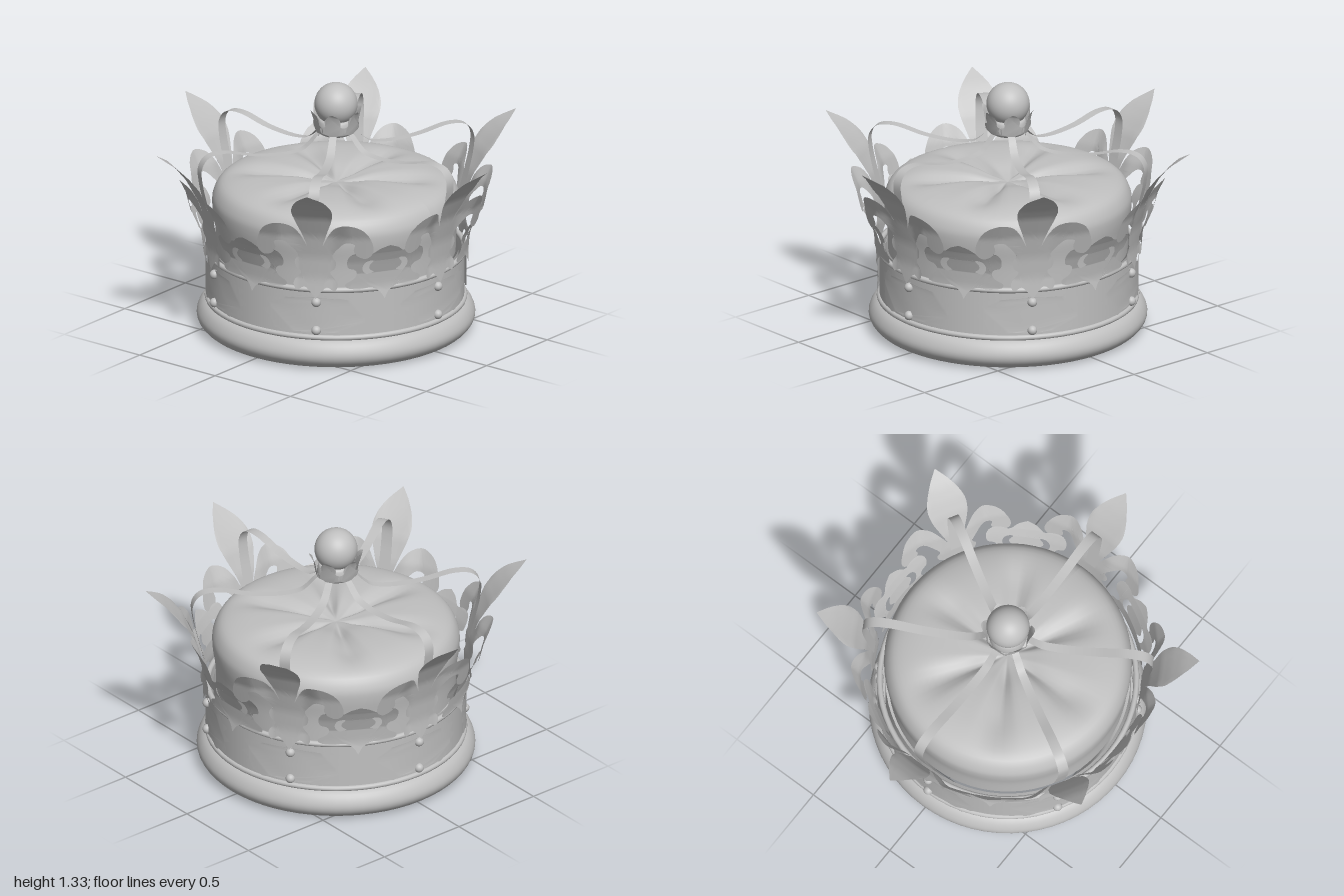
import * as THREE from 'three';
import { mergeVertices } from 'three/addons/utils/BufferGeometryUtils.js';

const silver = new THREE.MeshStandardMaterial({ color: 0xc0c0c0, side: THREE.DoubleSide });
silver.name = 'silver grey';

const v2 = (pts) => pts.map(([x, y]) => new THREE.Vector2(x, y));

// Piecewise lookup of radius by height
function lookup(table, y) {
  for (let i = 1; i < table.length; i++) {
    const [y0, r0] = table[i - 1], [y1, r1] = table[i];
    if (y <= y1 || i === table.length - 1) return r0 + (r1 - r0) * (y - y0) / (y1 - y0);
  }
}

// Symmetric outline from the right-hand half, listed bottom to top
function mirroredShape(half, samples) {
  const right = new THREE.SplineCurve(v2(half)).getPoints(samples);
  const left = right.slice(1, -1).reverse().map((p) => new THREE.Vector2(-p.x, p.y));
  return new THREE.Shape([...right, ...left]);
}

// Split every triangle into four, several times
function subdivide(geo, times) {
  const src = geo.toNonIndexed().attributes.position;
  let tris = [];
  for (let i = 0; i < src.count; i += 3) {
    tris.push([0, 1, 2].map((k) => new THREE.Vector3().fromBufferAttribute(src, i + k)));
  }
  for (let n = 0; n < times; n++) {
    tris = tris.flatMap(([a, b, c]) => {
      const ab = a.clone().lerp(b, 0.5), bc = b.clone().lerp(c, 0.5), ca = c.clone().lerp(a, 0.5);
      return [[a, ab, ca], [ab, b, bc], [ca, bc, c], [ab, bc, ca]];
    });
  }
  return new THREE.BufferGeometry().setFromPoints(tris.flat());
}

// Move flat points onto a curved surface, then smooth
function bend(geo, rule) {
  const p = geo.attributes.position;
  for (let i = 0; i < p.count; i++) p.setXYZ(i, ...rule(p.getX(i), p.getY(i)));
  geo.deleteAttribute('normal');
  geo.deleteAttribute('uv');
  const out = mergeVertices(geo, 1e-5);
  out.computeVertexNormals();
  return out;
}

function fleurGeometry() {
  const half = [[0, 0.39], [0.03, 0.43], [0.06, 0.455], [0.1, 0.435], [0.115, 0.48], [0.075, 0.535],
    [0.1, 0.56], [0.108, 0.6], [0.09, 0.635], [0.12, 0.68], [0.165, 0.722], [0.212, 0.715],
    [0.205, 0.68], [0.222, 0.645], [0.265, 0.628], [0.302, 0.66], [0.3, 0.725], [0.262, 0.8],
    [0.19, 0.835], [0.12, 0.815], [0.075, 0.76], [0.04, 0.69], [0.066, 0.77], [0.098, 0.86],
    [0.105, 0.93], [0.07, 1.0], [0, 1.06]];
  const radius = [[0.39, 0.695], [0.5, 0.69], [0.62, 0.705], [0.75, 0.74], [0.87, 0.8], [0.94, 0.855], [1, 0.915], [1.06, 1]];
  return bend(subdivide(new THREE.ShapeGeometry(mirroredShape(half, 80)), 3), (x, y) => {
    const lobe = THREE.MathUtils.smoothstep(Math.abs(x), 0.08, 0.2) * 0.03;
    return [x, y, lookup(radius, y) - 0.5 * x * x + lobe];
  });
}

function ornamentGeometry() {
  const half = [[0, 0.38], [0.025, 0.42], [0.07, 0.445], [0.13, 0.44], [0.195, 0.45], [0.205, 0.475],
    [0.165, 0.5], [0.15, 0.53], [0.165, 0.555], [0.2, 0.57], [0.21, 0.62], [0.19, 0.655],
    [0.14, 0.66], [0.09, 0.65], [0.05, 0.68], [0, 0.7]];
  const hole = [[0.06, 0.535], [0.1, 0.525], [0.125, 0.56], [0.11, 0.6], [0.07, 0.605], [0.088, 0.578], [0.085, 0.555]];
  const radius = [[0.38, 0.695], [0.45, 0.685], [0.53, 0.695], [0.6, 0.72], [0.65, 0.745], [0.7, 0.775]];
  const shape = mirroredShape(half, 48);
  for (const s of [1, -1]) {
    const curve = new THREE.SplineCurve(v2([...hole, hole[0]].map(([x, y]) => [x * s, y])));
    shape.holes.push(new THREE.Path(curve.getPoints(20).slice(0, -1)));
  }
  return bend(subdivide(new THREE.ShapeGeometry(shape), 2), (x, y) => [x, y, lookup(radius, y) - 0.55 * x * x]);
}

// Scalloped plate wrapped on the band
function plateGeometry() {
  const half = [[0, 0.19], [0.1, 0.2], [0.16, 0.185], [0.21, 0.205], [0.25, 0.2], [0.27, 0.235], [0.25, 0.265],
    [0.3, 0.29], [0.25, 0.32], [0.28, 0.36], [0.23, 0.375], [0.2, 0.4], [0.15, 0.38], [0.08, 0.4], [0, 0.39]];
  return bend(subdivide(new THREE.ShapeGeometry(mirroredShape(half, 48)), 2), (x, y) => {
    const a = x / 0.67;
    return [Math.sin(a) * 0.675, y, Math.cos(a) * 0.675];
  });
}

// Flat strap rising from the fleur and running to the orb
function archGeometry() {
  const path = new THREE.SplineCurve(v2([[0.695, 0.64], [0.725, 0.76], [0.75, 0.87], [0.755, 0.96], [0.71, 1.02],
    [0.61, 1.03], [0.46, 0.995], [0.31, 0.98], [0.2, 0.99], [0.15, 1.02], [0.11, 1.06], [0.06, 1.1]]));
  return bend(new THREE.PlaneGeometry(1, 1, 2, 56), (x, y) => {
    const t = y + 0.5, p = path.getPoint(t);
    return [x * (0.065 - 0.03 * t), p.y, p.x];
  });
}

// Small leaf of the cup that holds the orb
function cupLeafGeometry() {
  const half = [[0, 1.05], [0.03, 1.075], [0.062, 1.085], [0.066, 1.115], [0.04, 1.125], [0.042, 1.155], [0.025, 1.185], [0, 1.2]];
  const radius = [[1.05, 0.095], [1.09, 0.108], [1.13, 0.114], [1.17, 0.122], [1.2, 0.142]];
  return bend(subdivide(new THREE.ShapeGeometry(mirroredShape(half, 24)), 1), (x, y) => [x, y, lookup(radius, y) - 2.5 * x * x]);
}

// Puffed cloth cap with six soft creases between the arches
function capGeometry() {
  const profile = new THREE.SplineCurve(v2([[0.62, 0.42], [0.625, 0.55], [0.64, 0.66], [0.635, 0.73], [0.59, 0.795],
    [0.48, 0.828], [0.34, 0.835], [0.2, 0.825], [0.09, 0.8], [0.001, 0.785]])).getPoints(36);
  const geo = new THREE.LatheGeometry(profile, 72);
  const p = geo.attributes.position;
  for (let i = 0; i < p.count; i++) {
    const x = p.getX(i), z = p.getZ(i), r = Math.hypot(x, z);
    const crease = Math.pow(0.5 - 0.5 * Math.cos(6 * Math.atan2(x, z)), 4);
    const fade = THREE.MathUtils.smoothstep(r, 0.02, 0.18) * (1 - THREE.MathUtils.smoothstep(r, 0.35, 0.6));
    p.setY(i, p.getY(i) - 0.04 * crease * fade);
  }
  geo.deleteAttribute('uv');
  geo.computeVertexNormals();
  return geo;
}

export function createModel() {
  const crown = new THREE.Group();
  crown.name = 'crown';

  const add = (name, geo, parent = crown) => {
    const mesh = new THREE.Mesh(geo, silver);
    mesh.name = name;
    parent.add(mesh);
    return mesh;
  };
  const lathe = (pts, smooth) => new THREE.LatheGeometry(
    smooth ? new THREE.SplineCurve(v2(pts)).getPoints(36) : v2(pts), 64);

  // Padded base roll
  add('baseRoll', lathe([[0.53, 0.08], [0.55, 0.03], [0.61, 0.003], [0.67, 0.008], [0.712, 0.045], [0.72, 0.09],
    [0.692, 0.142], [0.64, 0.165], [0.57, 0.145], [0.53, 0.08]], true));

  // Band with its two rims
  add('band', lathe([[0.665, 0.14], [0.665, 0.43]]));
  add('bandLining', lathe([[0.635, 0.43], [0.635, 0.14]]));
  for (const [name, y] of [['lowerRim', 0.168], ['upperRim', 0.43]]) {
    const rim = add(name, new THREE.TorusGeometry(0.665, 0.015, 10, 64).rotateX(Math.PI / 2));
    rim.position.y = y;
  }
  add('cap', capGeometry());

  // Six repeats around the crown
  const fleur = fleurGeometry(), ornament = ornamentGeometry(), plate = plateGeometry();
  const arch = archGeometry(), leaf = cupLeafGeometry(), bead = new THREE.SphereGeometry(0.025, 16, 12);
  for (let i = 0; i < 6; i++) {
    const sector = new THREE.Group();
    sector.name = `sector${i + 1}`;
    sector.rotation.y = i * Math.PI / 3;
    crown.add(sector);
    add('fleur', fleur, sector);
    add('arch', arch, sector);
    add('bandPlate', plate, sector);
    add('cupLeaf', leaf, sector);
    for (const y of [0.21, 0.365]) add('bead', bead, sector).position.set(0, y, 0.675);
    add('smallOrnament', ornament, sector).rotation.y = Math.PI / 6;
  }

  // Orb on its collar
  add('orbCollar', lathe([[0.001, 1.045], [0.06, 1.05], [0.092, 1.065], [0.098, 1.09], [0.09, 1.13], [0.07, 1.14]], true));
  add('orb', new THREE.SphereGeometry(0.112, 40, 28)).position.y = 1.217;
  return crown;
}
